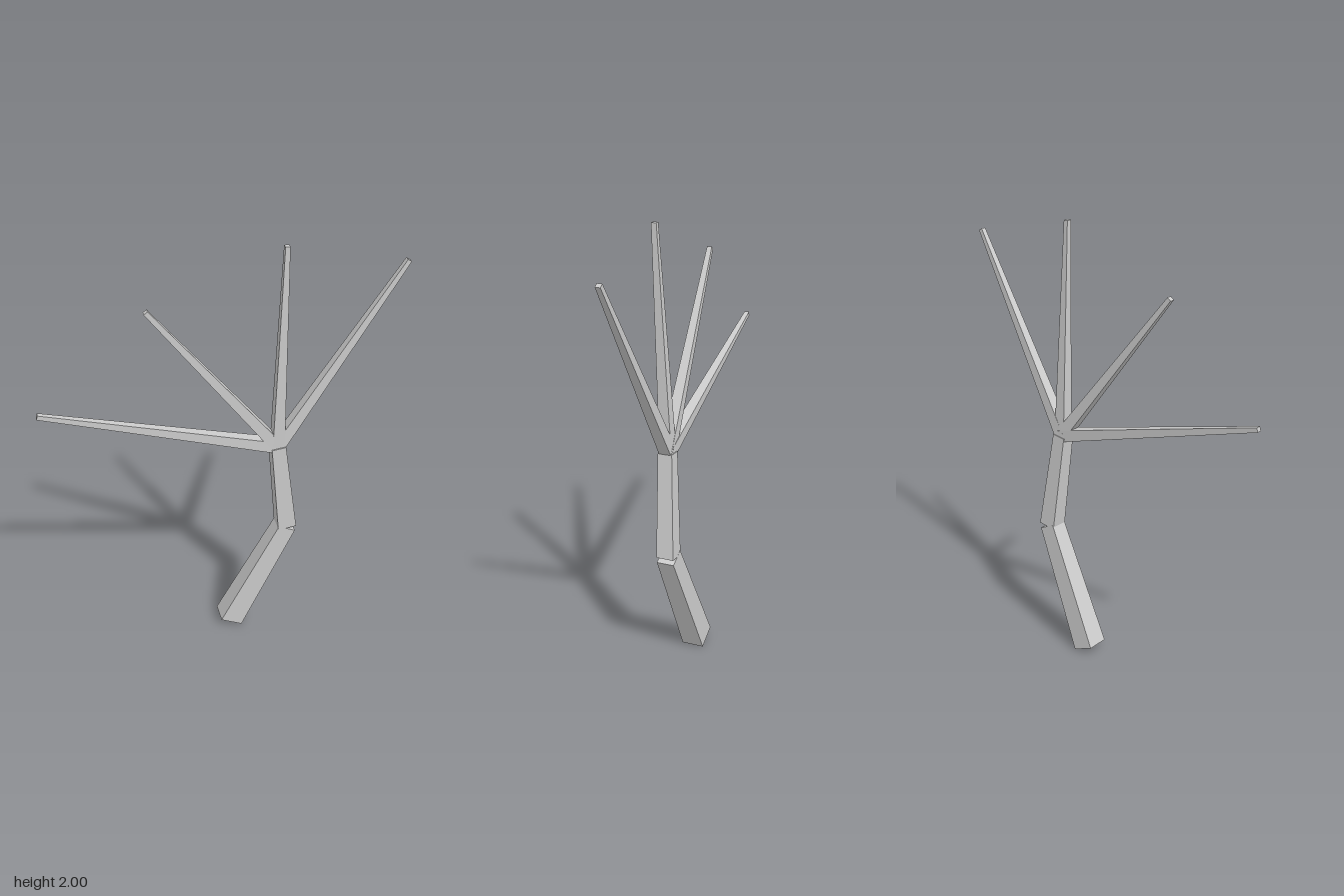
import * as THREE from 'three';

const material = new THREE.MeshStandardMaterial({ color: 0xcccccc, flatShading: true });

// Tapered square beam between two points; its end caps keep one side parallel to z.
function beam(name, from, to, [w0, d0], [w1, d1]) {
  const a = new THREE.Vector3(...from);
  const b = new THREE.Vector3(...to);
  const side = new THREE.Vector3(b.y - a.y, a.x - b.x, 0).normalize();
  const geometry = new THREE.BoxGeometry(1, 1, 1);
  const pos = geometry.attributes.position;
  const p = new THREE.Vector3();
  for (let i = 0; i < pos.count; i++) {
    const t = pos.getY(i) + 0.5;
    p.lerpVectors(a, b, t).addScaledVector(side, pos.getX(i) * THREE.MathUtils.lerp(w0, w1, t));
    p.z += pos.getZ(i) * THREE.MathUtils.lerp(d0, d1, t);
    pos.setXYZ(i, p.x, p.y, p.z);
  }
  geometry.computeVertexNormals();
  const mesh = new THREE.Mesh(geometry, material);
  mesh.name = name;
  return mesh;
}

export function createModel() {
  const tree = new THREE.Group();
  tree.name = 'bareTree';

  // Two trunk segments with an open bend between them
  tree.add(beam('lowerTrunk', [0.052, 0.025, -0.029], [0.308, 0.571, 0], [0.11, 0.1], [0.084, 0.077]));
  tree.add(beam('upperTrunk', [0.309, 0.574, 0], [0.252, 1.035, 0.023], [0.085, 0.077], [0.064, 0.063]));

  // Four branches fanning out from the top of the trunk
  const crotch = [0.252, 1.035, 0.022];
  const tips = [
    [-0.773, 1.343, 0.034],
    [-0.314, 1.772, 0.053],
    [0.251, 2.0, 0.068],
    [0.766, 1.885, 0.061],
  ];
  tips.forEach((tip, i) => {
    tree.add(beam(`branch${i + 1}`, crotch, tip, [0.054, 0.054], [0.02, 0.022]));
  });
  return tree;
}
